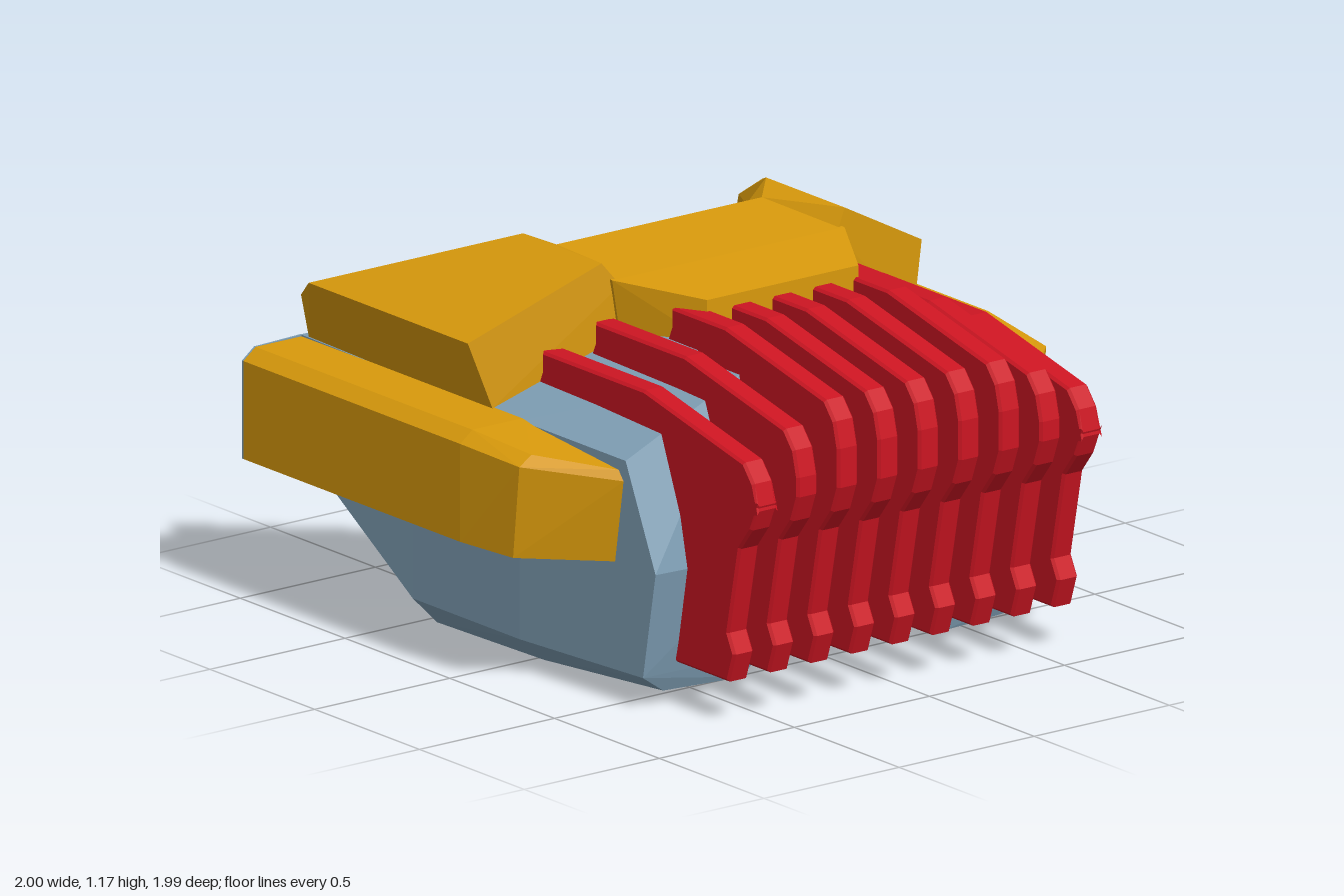
import * as THREE from 'three';
import { ConvexGeometry } from 'three/addons/geometries/ConvexGeometry.js';

const paint = (color) => new THREE.MeshStandardMaterial({ color, flatShading: true });
const yellow = paint(0xd99a0c);
const steel = paint(0x7f9fb5);
const red = paint(0xcc1522);

// Faceted solid spanned by its corner points
function solid(name, corners, material) {
  const geometry = new ConvexGeometry(corners.map((c) => new THREE.Vector3(...c)));
  const mesh = new THREE.Mesh(geometry, material);
  mesh.name = name;
  return mesh;
}

const flip = (corners) => corners.map(([x, y, z]) => [-x, y, z]);

// Solid symmetric about x = 0, given its left half
const centred = (name, half, material) => solid(name, [...half, ...flip(half)], material);

// Left and right copies of a solid
function pair(group, name, corners, material) {
  group.add(solid(name + 'Left', corners, material));
  group.add(solid(name + 'Right', flip(corners), material));
}

// Curved grille bar: shared front outline, top raised or lowered, own rear end
function grilleBar(x, top, rear) {
  const outline = [
    [0.4, 0.13], [0.86, 0.13], [0.89, 0.22], [0.86, 0.28], [0.915, 0.55], [0.97, 0.62], [1, 0.7],
    [1, top - 0.24], [0.98, top - 0.16], [0.935, top - 0.105], [0.46, top], [rear, top],
    [rear, top - 0.06], [rear - 0.04, top - 0.15], [0.4, 0.6],
  ];
  const shape = new THREE.Shape(outline.map(([z, y]) => new THREE.Vector2(z, y)));
  const bevel = 0.008, width = 0.075;
  const geometry = new THREE.ExtrudeGeometry(shape, {
    depth: width - 2 * bevel, bevelThickness: bevel, bevelSize: bevel, bevelOffset: -bevel, bevelSegments: 1,
  });
  geometry.translate(0, 0, bevel - width / 2).rotateY(-Math.PI / 2);
  const mesh = new THREE.Mesh(geometry, red);
  mesh.position.x = x;
  mesh.name = 'grilleBar';
  return mesh;
}

export function createModel() {
  const model = new THREE.Group();
  model.name = 'armouredModule';

  // Hull: recessed middle, side pods and rear arms
  model.add(centred('hullCentre', [
    [0.39, 0.96, 0.33], [0.38, 0.16, 0.5], [0.38, 0.1, 0.52], [0.38, 0, 0.22],
    [0.4, 0, -0.465], [0.4, 0.965, -0.465],
  ], steel));
  pair(model, 'sidePod', [
    [0.37, 0.43, 0.685], [0.75, 0.43, 0.66],
    [0.37, 0.95, 0.57], [0.76, 0.75, 0.53],
    [0.33, 0.1, 0.61], [0.75, 0.1, 0.6], [0.37, 0.03, 0.59], [0.66, 0.04, 0.58],
    [0.78, 0.09, 0.05], [0.78, 0.76, 0.05], [0.69, 0.01, 0.05], [0.37, 0.01, 0.05],
    [0.78, 0.09, -0.46], [0.69, 0, -0.46], [0.37, 0, -0.46],
    [0.78, 0.76, -0.46], [0.39, 0.96, -0.46],
  ], steel);
  pair(model, 'rearArm', [
    [0.4, 0, -0.46], [0.69, 0, -0.46], [0.78, 0.09, -0.46], [0.78, 0.76, -0.46], [0.4, 0.96, -0.46],
    [0.785, 0.43, -0.99], [0.785, 0.77, -0.99],
  ], steel);

  // Side guards with chamfered outer edge and tapered nose
  pair(model, 'sideGuard', [
    [0.76, 0.43, -0.985], [1, 0.43, -0.985], [1, 0.43, 0.05], [0.975, 0.43, 0.27], [0.76, 0.43, 0.48],
    [1, 0.73, -0.985], [1, 0.73, 0.05], [0.975, 0.715, 0.3], [0.76, 0.685, 0.52],
    [0.955, 0.765, -0.985], [0.955, 0.765, 0.05], [0.93, 0.745, 0.3], [0.76, 0.715, 0.5],
    [0.76, 0.765, -0.985], [0.76, 0.765, 0.05],
  ], yellow);
  // Steel end plate closing each guard at the back
  pair(model, 'guardEndPlate', [-0.992, -0.985].flatMap((z) => [
    [0.78, 0.43, z], [1, 0.43, z], [1, 0.73, z], [0.955, 0.765, z], [0.78, 0.77, z],
  ]), steel);

  // Hood: tapered centre plate and two sloping wings
  model.add(centred('hoodCentre', [
    [0.28, 1.095, 0.3], [0.43, 1.12, 0.04], [0.38, 1.14, -0.29], [0.38, 1.1, -0.365],
    [0.28, 0.97, 0.3], [0.41, 0.96, 0.05], [0.38, 0.955, -0.365],
  ], yellow));
  pair(model, 'hoodWing', [
    [0.45, 1.17, 0.015], [0.45, 1.17, -0.36], [0.84, 0.965, -0.88], [0.84, 0.965, -0.12],
    [0.4, 1.1, 0.04], [0.38, 1.14, -0.29], [0.38, 1.1, -0.365], [0.81, 0.905, -0.955],
    [0.78, 0.765, -0.08], [0.78, 0.765, -0.955], [0.38, 0.955, -0.365], [0.38, 0.955, 0.05],
  ], yellow);

  // Grille bars, stepping down towards the sides
  const grille = new THREE.Group();
  grille.name = 'grille';
  for (let i = -4; i <= 4; i++) {
    const step = Math.max(0, Math.abs(i) - 2);
    grille.add(grilleBar(i * 0.15, [1.06, 1.0, 0.925][step], [0.2, 0.03, -0.03][step]));
  }
  model.add(grille);

  return model;
}
